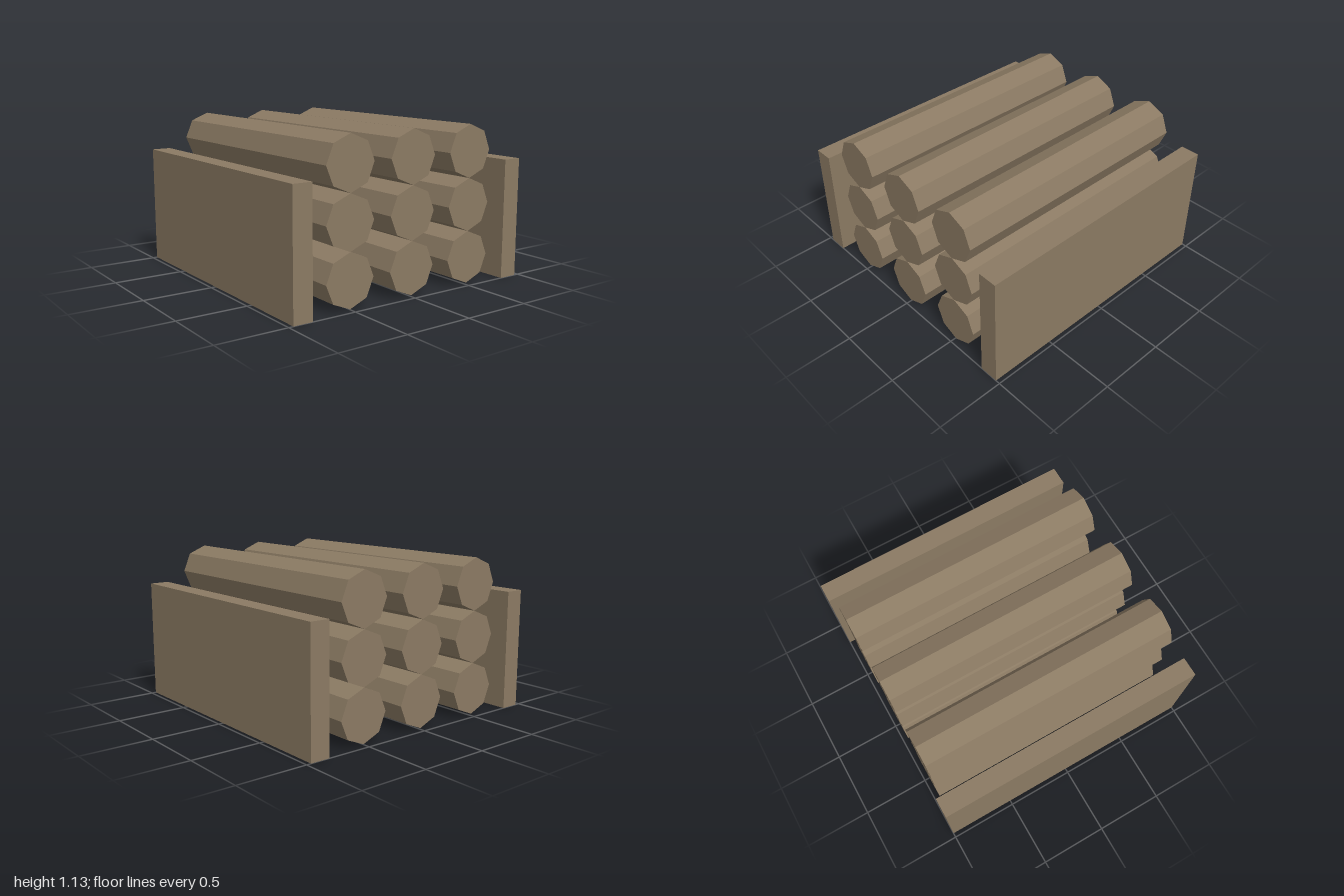
import * as THREE from 'three';

export function createModel() {
  const group = new THREE.Group();
  const wood = new THREE.MeshStandardMaterial({ color: 0x8b7a63, flatShading: true });
  wood.name = 'wood';

  // Eight-sided logs lying along z, stacked three by three
  const radius = 0.187;
  const logGeometry = new THREE.CylinderGeometry(radius, radius, 1.92, 8).rotateX(Math.PI / 2);
  for (let row = 0; row < 3; row++) {
    for (let column = -1; column <= 1; column++) {
      const log = new THREE.Mesh(logGeometry, wood);
      log.name = `logRow${row + 1}Column${column + 2}`;
      log.position.set(column * 0.512, 0.196 + row * 0.375, 0);
      group.add(log);
    }
  }

  // Upright side boards
  const boardGeometry = new THREE.BoxGeometry(0.142, 0.866, 2);
  for (const side of [-1, 1]) {
    const board = new THREE.Mesh(boardGeometry, wood);
    board.name = side > 0 ? 'leftBoard' : 'rightBoard';
    board.position.set(side * 0.896, 0.433, 0);
    group.add(board);
  }
  return group;
}
